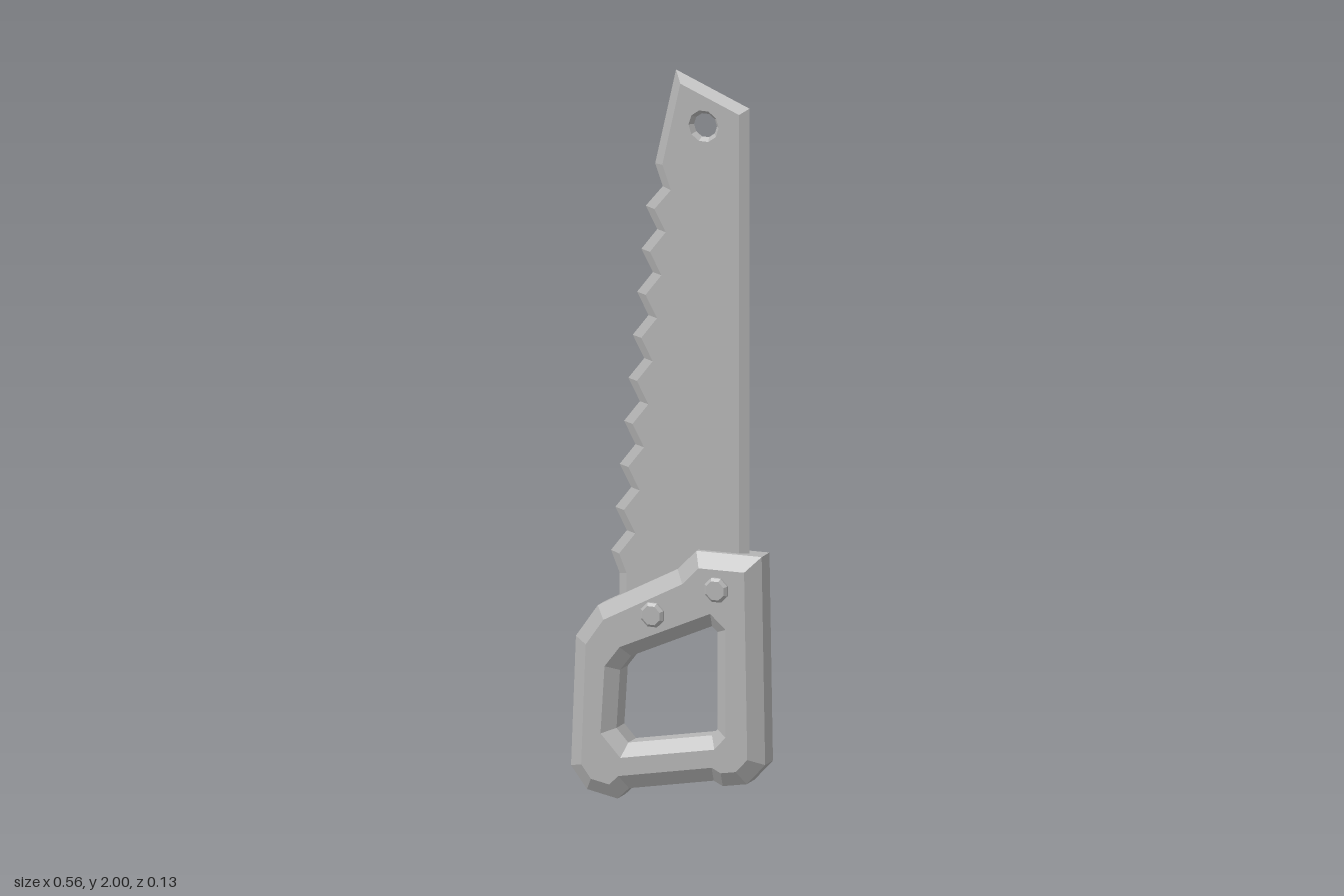
import * as THREE from 'three';

// Shift a closed loop towards the material, which lies on its left side
function inset(loop, d) {
  const n = loop.length;
  return loop.map((p, i) => {
    const a = p.clone().sub(loop[(i + n - 1) % n]).normalize();
    const b = loop[(i + 1) % n].clone().sub(p).normalize();
    const na = new THREE.Vector2(-a.y, a.x), nb = new THREE.Vector2(-b.y, b.x);
    return p.clone().addScaledVector(na.clone().add(nb), d / (1 + na.dot(nb)));
  });
}

function orient(points, clockwise) {
  const loop = points.map(([x, y]) => new THREE.Vector2(x, y));
  return THREE.ShapeUtils.isClockWise(loop) === clockwise ? loop : loop.reverse();
}

// Flat plate with a bevel on both sides of its outline and of its hole
function bevelledPlate(outline, hole, edgeZ, faceZ, bevel, holeBevel) {
  const loops = [orient(outline, false), orient(hole, true)];
  const faces = [inset(loops[0], bevel), inset(loops[1], holeBevel)];
  const pos = [];
  const tri = (...c) => c.forEach(([p, z]) => pos.push(p.x, p.y, z));

  const all = faces.flat();
  for (const [a, b, c] of THREE.ShapeUtils.triangulateShape(faces[0].slice(), [faces[1].slice()])) {
    tri([all[a], faceZ], [all[b], faceZ], [all[c], faceZ]);
    tri([all[c], -faceZ], [all[b], -faceZ], [all[a], -faceZ]);
  }
  loops.forEach((loop, k) => {
    const levels = [[faces[k], -faceZ], [loop, -edgeZ], [loop, edgeZ], [faces[k], faceZ]];
    for (let l = 0; l < 3; l++) {
      const [lo, z0] = levels[l], [hi, z1] = levels[l + 1];
      if (z0 === z1 || (l === 1 && edgeZ === 0)) continue;
      for (let i = 0; i < loop.length; i++) {
        const j = (i + 1) % loop.length;
        tri([lo[i], z0], [lo[j], z0], [hi[j], z1]);
        tri([lo[i], z0], [hi[j], z1], [hi[i], z1]);
      }
    }
  });
  const geo = new THREE.BufferGeometry();
  geo.setAttribute('position', new THREE.Float32BufferAttribute(pos, 3));
  geo.computeVertexNormals();
  return geo;
}

export function createModel() {
  const group = new THREE.Group();
  const grey = new THREE.MeshStandardMaterial({ color: 0xb4b4b4, flatShading: true });
  grey.name = 'grey';
  const add = (name, geo) => {
    const mesh = new THREE.Mesh(geo, grey);
    mesh.name = name;
    group.add(mesh);
    return mesh;
  };

  // Blade: slanted tip, straight back and a row of teeth down the left edge
  const blade = [[0.222, 0.62], [0.222, 1.917], [0.01, 2]];
  for (let i = 0; i < 10; i++) {
    const x = i === 0 ? -0.05 : -0.077 - 0.0125 * (i - 1);
    const y = 1.738 - 0.1185 * i;
    blade.push([x, y], [x + (i === 0 ? 0.022 : i === 9 ? 0.025 : 0.033), y - 0.06]);
  }
  blade.push([-0.152, 0.52]);
  const hangingHole = Array.from({ length: 10 }, (_, i) => {
    const a = (i / 10) * Math.PI * 2;
    return [0.095 + 0.033 * Math.cos(a), 1.858 + 0.033 * Math.sin(a)];
  });
  add('blade', bevelledPlate(blade, hangingHole, 0, 0.012, 0.025, 0.01));

  // Handle: chunky closed grip
  const handle = [
    [0.268, 0.708], [0.278, 0.143], [0.225, 0.085], [0.156, 0.072], [0.13, 0.084],
    [-0.114, 0.036], [-0.147, 0.004], [-0.235, 0.02], [-0.281, 0.08],
    [-0.267, 0.434], [-0.204, 0.524], [0.026, 0.648], [0.08, 0.704],
  ];
  const grip = [
    [-0.108, 0.397], [0.125, 0.504], [0.141, 0.49], [0.141, 0.225], [0.125, 0.207],
    [-0.116, 0.16], [-0.15, 0.196], [-0.14, 0.355],
  ];
  add('handle', bevelledPlate(handle, grip, 0.025, 0.05, 0.04, 0.034));

  // Rivets passing through the handle, with chamfered heads
  const profile = [[0, -0.063], [0.027, -0.063], [0.035, -0.056], [0.035, 0.056], [0.027, 0.063], [0, 0.063]]
    .map(([r, y]) => new THREE.Vector2(r, y));
  const rivet = new THREE.LatheGeometry(profile, 8, Math.PI / 8).rotateX(Math.PI / 2);
  for (const [name, x, y] of [['lowerRivet', -0.034, 0.524], ['upperRivet', 0.15, 0.612]]) {
    add(name, rivet).position.set(x, y, 0);
  }
  return group;
}
